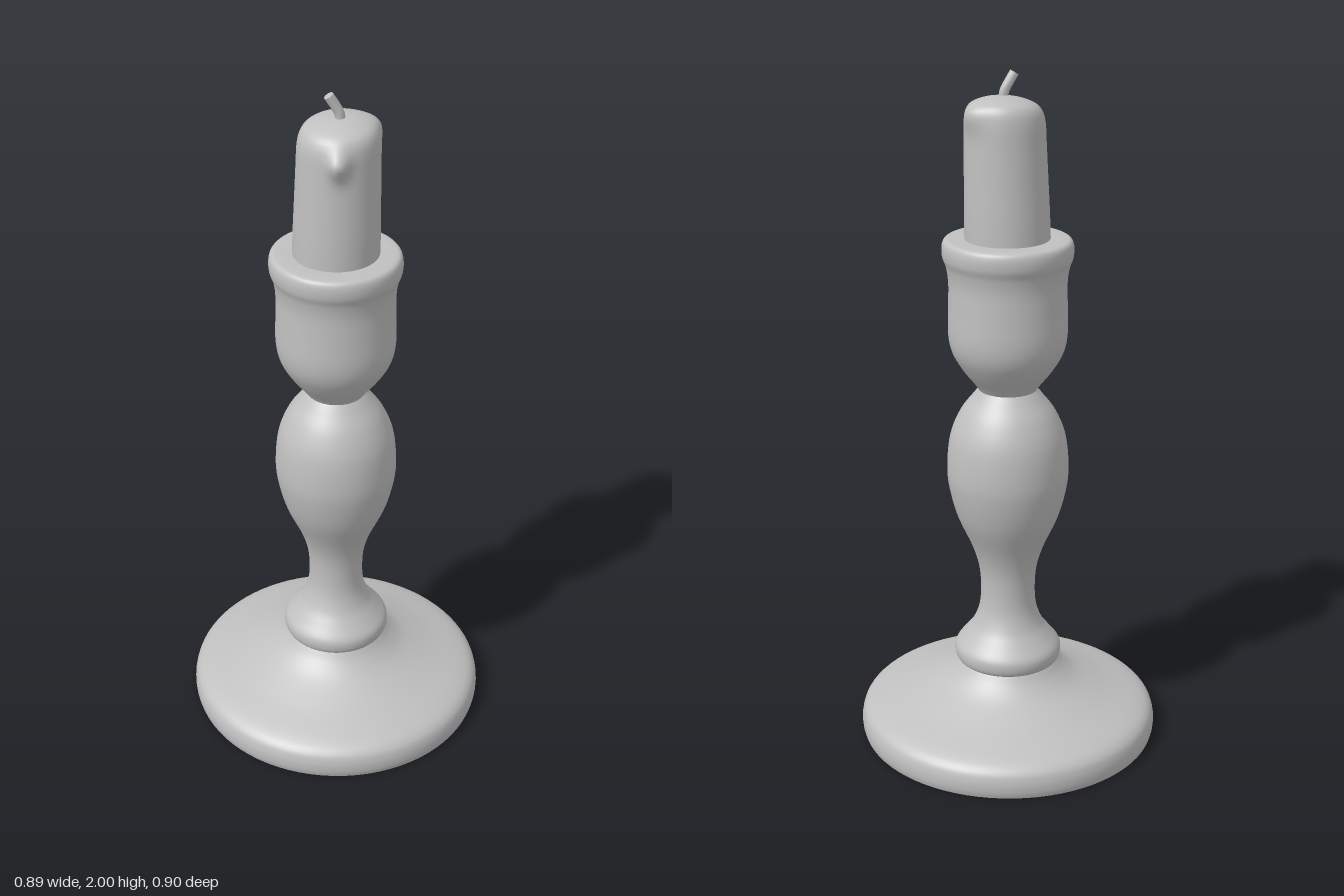
import * as THREE from 'three';
import { mergeVertices } from 'three/addons/utils/BufferGeometryUtils.js';

const grey = new THREE.MeshStandardMaterial({ color: 0xc0c0c0 });
grey.name = 'plain grey';

// Smooth turned profile from [radius, height] pairs, bottom to top
function turned(points, steps, segments = 64) {
  const curve = new THREE.SplineCurve(points.map(([r, y]) => new THREE.Vector2(r, y)));
  const profile = curve.getPoints(steps).map((p) => new THREE.Vector2(Math.max(p.x, 0), p.y));
  return new THREE.LatheGeometry(profile, segments);
}

function part(name, geometry) {
  const mesh = new THREE.Mesh(geometry, grey);
  mesh.name = name;
  return mesh;
}

// Candle: leans slightly forward, with an uneven top and wax drips
function candleGeometry() {
  const g = turned([[0.121, 1.5], [0.12, 1.6], [0.117, 1.7], [0.114, 1.8], [0.112, 1.86],
    [0.104, 1.895], [0.085, 1.915], [0.045, 1.929], [0, 1.934]], 48, 56);
  const drips = [ // angle from front, height, angular width, height spread, bulge
    [-0.95, 1.845, 0.22, 0.04, 0.03],
    [1.15, 1.885, 0.35, 0.035, 0.014],
  ];
  const p = g.attributes.position;
  for (let i = 0; i < p.count; i++) {
    let x = p.getX(i), y = p.getY(i), z = p.getZ(i);
    const r = Math.hypot(x, z), angle = Math.atan2(x, z);
    let out = 0;
    for (const [a, h, w, s, b] of drips) {
      out += b * Math.exp(-(((angle - a) / w) ** 2) - ((y - h) / s) ** 2);
    }
    const k = r > 0.01 ? 1 + (out * Math.min(1, r / 0.1)) / r : 1;
    const t = (y - 1.5) / 0.43;
    if (y > 1.84) y += 0.08 * x * Math.min(1, (y - 1.84) / 0.05);
    p.setXYZ(i, x * k + 0.003 * t, y, z * k + 0.01 * t);
  }
  g.deleteAttribute('uv');
  g.deleteAttribute('normal');
  const merged = mergeVertices(g, 1e-5);
  merged.computeVertexNormals();
  return merged;
}

export function createModel() {
  const model = new THREE.Group();
  model.name = 'candlestick';

  // Turned holder, very slightly deeper than wide
  const holder = new THREE.Group();
  holder.name = 'holder';
  holder.scale.z = 1.012;
  model.add(holder);

  holder.add(part('base', turned([[0.438, 0], [0.443, 0.02], [0.442, 0.05], [0.43, 0.078],
    [0.395, 0.1], [0.3, 0.133], [0.215, 0.17], [0.17, 0.203], [0.146, 0.232]], 48, 80)));

  const underside = part('underside', new THREE.CircleGeometry(0.438, 80));
  underside.rotation.x = Math.PI / 2;
  holder.add(underside);

  holder.add(part('stem', turned([[0.14, 0.228], [0.153, 0.238], [0.158, 0.26], [0.153, 0.283],
    [0.128, 0.315], [0.103, 0.35], [0.085, 0.4], [0.08, 0.46], [0.085, 0.53], [0.105, 0.6],
    [0.148, 0.7], [0.171, 0.79], [0.176, 0.86], [0.166, 0.95], [0.138, 1.02],
    [0.103, 1.068], [0.083, 1.093]], 96)));

  holder.add(part('cup', turned([[0.083, 1.092], [0.097, 1.112], [0.13, 1.155], [0.158, 1.205],
    [0.169, 1.26], [0.168, 1.34], [0.167, 1.41], [0.173, 1.455], [0.183, 1.485], [0.184, 1.515],
    [0.176, 1.533], [0.155, 1.537], [0.115, 1.537]], 72)));

  model.add(part('candle', candleGeometry()));

  // Bent wick with a closed tip
  const path = new THREE.CatmullRomCurve3([
    new THREE.Vector3(0.002, 1.915, 0.014), new THREE.Vector3(0, 1.945, 0.011),
    new THREE.Vector3(-0.008, 1.968, 0.002), new THREE.Vector3(-0.02, 1.994, -0.009)]);
  const wick = new THREE.Group();
  wick.name = 'wick';
  wick.add(part('wickStrand', new THREE.TubeGeometry(path, 10, 0.014, 8)));
  const tip = part('wickTip', new THREE.CircleGeometry(0.014, 8));
  tip.position.copy(path.getPoint(1));
  tip.lookAt(path.getPoint(1).add(path.getTangent(1)));
  wick.add(tip);
  model.add(wick);

  return model;
}
